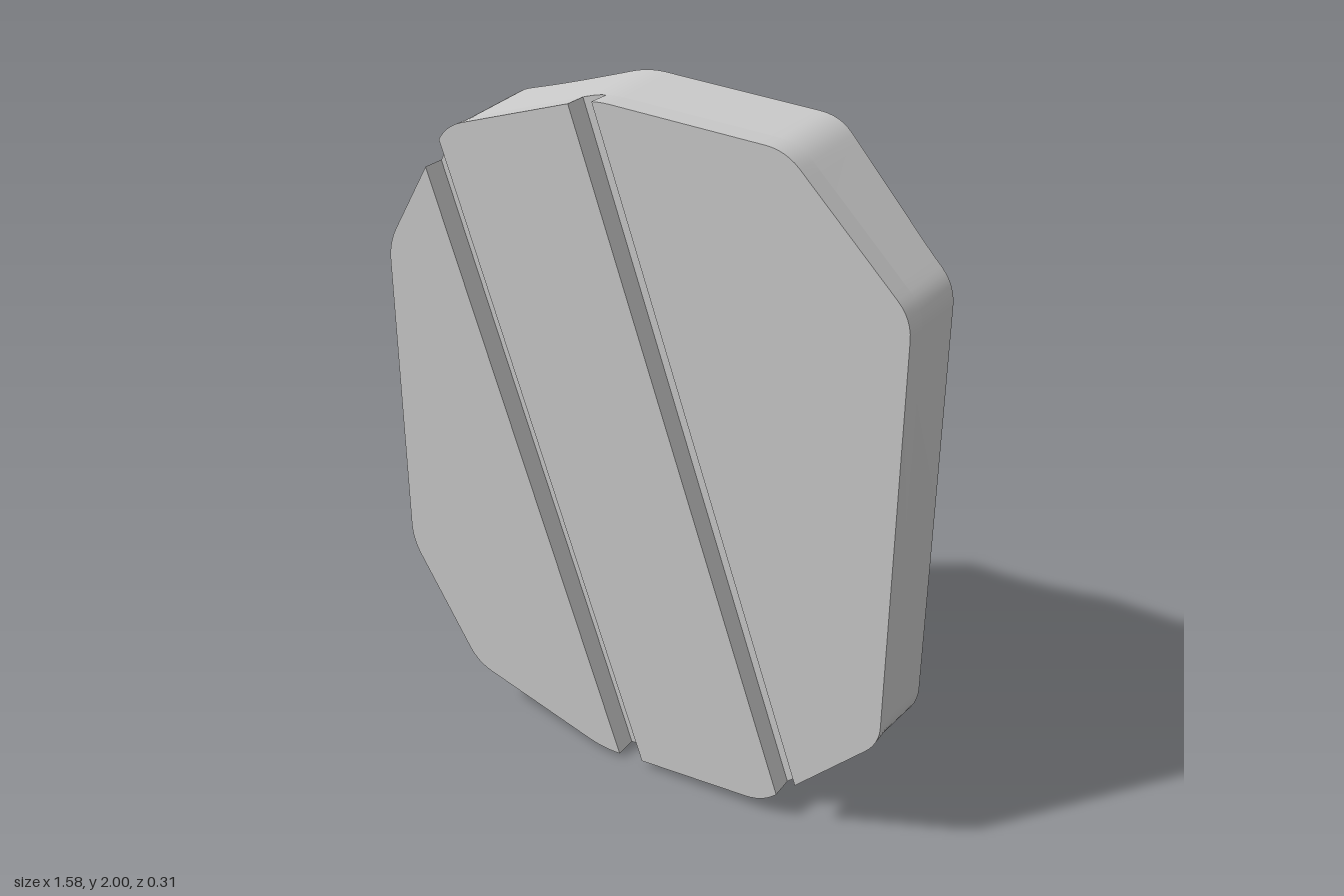
import * as THREE from 'three';
import { toCreasedNormals } from 'three/addons/utils/BufferGeometryUtils.js';

const FRONT = 0.155, FLOOR = 0.088;      // front face and groove floor depths
const TAPER = 0.986;                     // the side wall narrows toward the front
const SLANT = 0.346;                     // sideways drift of the grooves per unit height
const CUTS = [-0.387, -0.306, 0.17, 0.247]; // groove edges at mid height

// Upper half of the outline, left to right, with rounded corners
function upperOutline() {
  const corners = [[-0.79, 1], [-0.79, 1.485], [-0.564, 1.86], [-0.1, 2.003], [0.445, 1.968], [0.79, 1.62], [0.79, 1]]
    .map(p => new THREE.Vector2(...p));
  const points = [];
  for (let i = 1; i < corners.length - 1; i++) {
    const c = corners[i], cut = 0.055;
    const toward = q => c.clone().add(q.clone().sub(c).setLength(cut));
    const start = toward(corners[i - 1]), end = toward(corners[i + 1]);
    if (points.length) {
      const last = points[points.length - 1].clone();
      for (let k = 1; k < 12; k++) points.push(last.clone().lerp(start, k / 12));
    }
    points.push(...new THREE.QuadraticBezierCurve(start, c, end).getPoints(6));
  }
  return points;
}

// Piecewise interpolation through [x, value] pairs
function lookup(table, x) {
  for (let i = 1; i < table.length; i++) {
    const [x0, a] = table[i - 1], [x1, b] = table[i];
    if (x <= x1) return a + (b - a) * THREE.MathUtils.clamp((x - x0) / (x1 - x0), 0, 1);
  }
  return table[table.length - 1][1];
}

// Depth of the back along the upper and lower rims
const RIM = [[-0.79, -0.109], [-0.775, -0.117], [-0.7, -0.122], [-0.6, -0.137], [-0.58, -0.142], [-0.56, -0.154],
  [-0.53, -0.158], [-0.5, -0.154], [-0.44, -0.138], [-0.38, -0.126], [-0.3, -0.117], [-0.2, -0.114],
  [-0.1, -0.117], [0, -0.114], [0.45, -0.111], [0.72, -0.071], [0.79, -0.068]];
const rim = x => lookup(RIM, x);

// Depth of the back along the middle: level, then a shallow hollow, then a rise to the right edge
function middle(x) {
  if (x < -0.15) return -0.025 - 0.084 * ((-0.15 - x) / 0.64) ** 2;
  return -0.025 - 0.043 * THREE.MathUtils.smoothstep(x, -0.15, 0.4);
}

function makeGeometry(triangles) {
  const geometry = new THREE.BufferGeometry();
  geometry.setAttribute('position', new THREE.Float32BufferAttribute(triangles.flat(2), 3));
  return toCreasedNormals(geometry, 0.5);
}

// Wall between two matching loops, counter-clockwise seen from the front
function wall(back, front) {
  return back.flatMap((a, i) => {
    const j = (i + 1) % back.length;
    return [[a, back[j], front[j]], [a, front[j], front[i]]];
  });
}

const cap = loop => loop.slice(2).map((p, i) => [loop[0], loop[i + 1], p]);
const ring = (loop, z) => loop.map(p => [p.x * TAPER, 1 + (p.y - 1) * TAPER, z]);

// Keep the part of a convex loop on one side of a slanted line
function clip(loop, offset, side) {
  const distance = p => side * (p.x + SLANT * (p.y - 1) - offset);
  const result = [];
  loop.forEach((p, i) => {
    const q = loop[(i + 1) % loop.length], a = distance(p), b = distance(q);
    if (a >= 0) result.push(p);
    if (a * b < 0) result.push(p.clone().lerp(q, a / (a - b)));
  });
  return result;
}

// Dished back, rising to the upper and lower rims
function backTriangles(upper) {
  const rows = 36, triangles = [];
  const grid = upper.map(p => Array.from({ length: rows + 1 }, (_, i) => {
    const v = Math.sin((i / rows - 0.5) * Math.PI), half = p.y - 1;
    const w = Math.max(0, 1 - (1 - Math.abs(v)) * half / 0.36) ** 1.7;
    return [p.x, 1 + v * half, THREE.MathUtils.lerp(middle(p.x), rim(p.x), w)];
  }));
  for (let j = 0; j < grid.length - 1; j++) {
    for (let i = 0; i < rows; i++) {
      const a = grid[j][i], b = grid[j + 1][i], c = grid[j + 1][i + 1], d = grid[j][i + 1];
      triangles.push([a, c, b], [a, d, c]);
    }
  }
  return triangles;
}

export function createModel() {
  const group = new THREE.Group();
  group.name = 'contouredPlate';
  const grey = new THREE.MeshStandardMaterial({ color: 0xc9c9c9 });
  grey.name = 'plain grey';
  const add = (name, triangles) => {
    const mesh = new THREE.Mesh(makeGeometry(triangles), grey);
    mesh.name = name;
    group.add(mesh);
  };

  const upper = upperOutline();
  const lower = upper.map(p => new THREE.Vector2(p.x, 2 - p.y));
  const outline = [...lower, ...upper.slice().reverse()];

  // Contoured back and the side wall behind the grooves
  add('dishedBack', backTriangles(upper));
  add('sideWall', wall(outline.map(p => [p.x, p.y, rim(p.x)]), ring(outline, FLOOR)));

  // Three raised front panels with the floors of the two slanted grooves between them
  const edges = [-9, ...CUTS, 9];
  ['rightPanel', 'rightGrooveFloor', 'middlePanel', 'leftGrooveFloor', 'leftPanel'].forEach((name, i) => {
    const loop = clip(clip(outline, edges[i], 1), edges[i + 1], -1);
    const floor = ring(loop, FLOOR), front = ring(loop, FRONT);
    add(name, i % 2 ? cap(floor) : [...wall(floor, front), ...cap(front)]);
  });

  return group;
}
